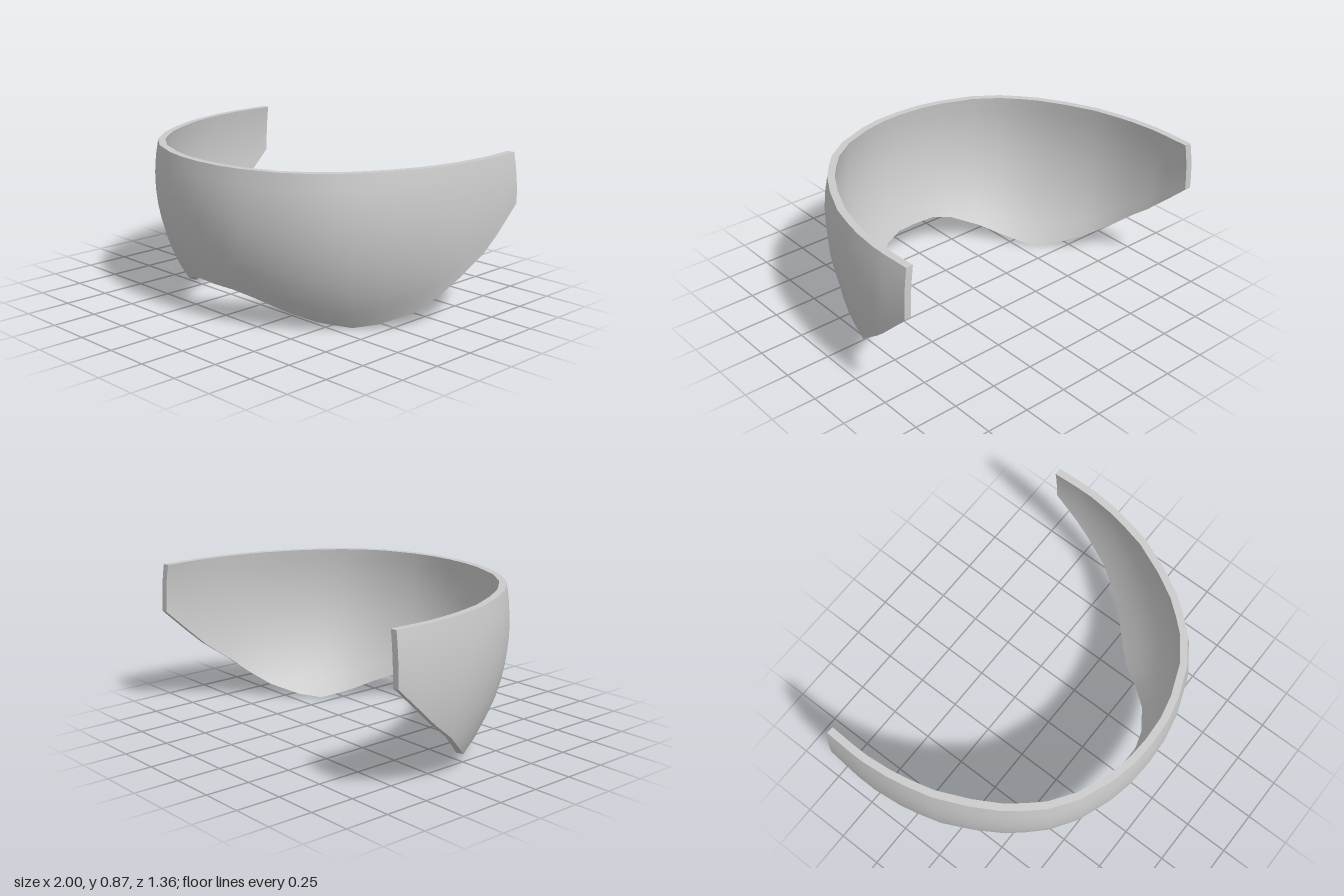
import * as THREE from 'three';

const TOP = 0.866, THICK = 0.04, ROWS = 9;

// Half of the widest outline, front centre to rear tip: [x, z, height of lower edge]
const HALF = [
  [0, 0.685, 0.19], [0.143, 0.677, 0.19], [0.28, 0.648, 0.165], [0.465, 0.578, 0.1],
  [0.607, 0.482, 0.045], [0.69, 0.395, 0.02], [0.765, 0.304, 0], [0.85, 0.158, 0.02],
  [0.93, -0.025, 0.08], [0.964, -0.165, 0.165], [0.985, -0.276, 0.25],
  [1, -0.43, 0.36], [1, -0.53, 0.45], [0.995, -0.68, 0.59],
];
const OUTLINE = [
  ...HALF.slice(1).reverse().map(([x, z, y]) => [-x, z, y]),
  ...HALF,
];
const LAST = OUTLINE.length - 1;
const CENTRE_Z = -0.4;

// Point on the domed wall: column i, row j from the top, depth 0 (outside) to 1 (inside)
function wallPoint(i, j, depth) {
  const [x, z, low] = OUTLINE[i];
  const y = THREE.MathUtils.lerp(TOP, low, j / ROWS);
  const angle = Math.atan2(Math.abs(x), z - CENTRE_Z);
  const side = Math.sin(angle) ** 2;
  const widest = 0.68 - 0.08 * side;
  const radius = 1.1 - 0.06 * Math.sin(2 * angle) ** 2 + 0.15 * side ** 6;
  const scale = Math.sqrt(1 - ((y - widest) / radius) ** 2);

  // Horizontal inward direction, square to the outline
  const a = OUTLINE[Math.max(i - 1, 0)], b = OUTLINE[Math.min(i + 1, LAST)];
  const tx = b[0] - a[0], tz = b[1] - a[1], len = Math.hypot(tx, tz);
  const inset = depth * THICK;
  return [
    x * scale + (tz / len) * inset,
    y,
    CENTRE_Z + (z - CENTRE_Z) * scale - (tx / len) * inset,
  ];
}

// Smooth sheet of nu by nv cells
function sheet(name, nu, nv, point, material) {
  const positions = [], index = [];
  for (let v = 0; v <= nv; v++) {
    for (let u = 0; u <= nu; u++) {
      positions.push(...point(u, v));
      if (u < nu && v < nv) {
        const a = v * (nu + 1) + u, c = a + nu + 1;
        index.push(a, c, a + 1, a + 1, c, c + 1);
      }
    }
  }
  const geometry = new THREE.BufferGeometry();
  geometry.setAttribute('position', new THREE.Float32BufferAttribute(positions, 3));
  geometry.setIndex(index);
  geometry.computeVertexNormals();
  const mesh = new THREE.Mesh(geometry, material);
  mesh.name = name;
  return mesh;
}

export function createModel() {
  const group = new THREE.Group();
  group.name = 'curvedVisor';
  const material = new THREE.MeshStandardMaterial({ color: 0xcccccc });

  // Curved faces, then the rims and rear ends as separate sheets for sharp edges
  group.add(
    sheet('outerFace', LAST, ROWS, (u, v) => wallPoint(u, v, 0), material),
    sheet('innerFace', LAST, ROWS, (u, v) => wallPoint(LAST - u, v, 1), material),
    sheet('topRim', LAST, 1, (u, v) => wallPoint(u, 0, 1 - v), material),
    sheet('bottomRim', LAST, 1, (u, v) => wallPoint(u, ROWS, v), material),
    sheet('leftEnd', 1, ROWS, (u, v) => wallPoint(LAST, v, u), material),
    sheet('rightEnd', 1, ROWS, (u, v) => wallPoint(0, v, 1 - u), material),
  );
  return group;
}
